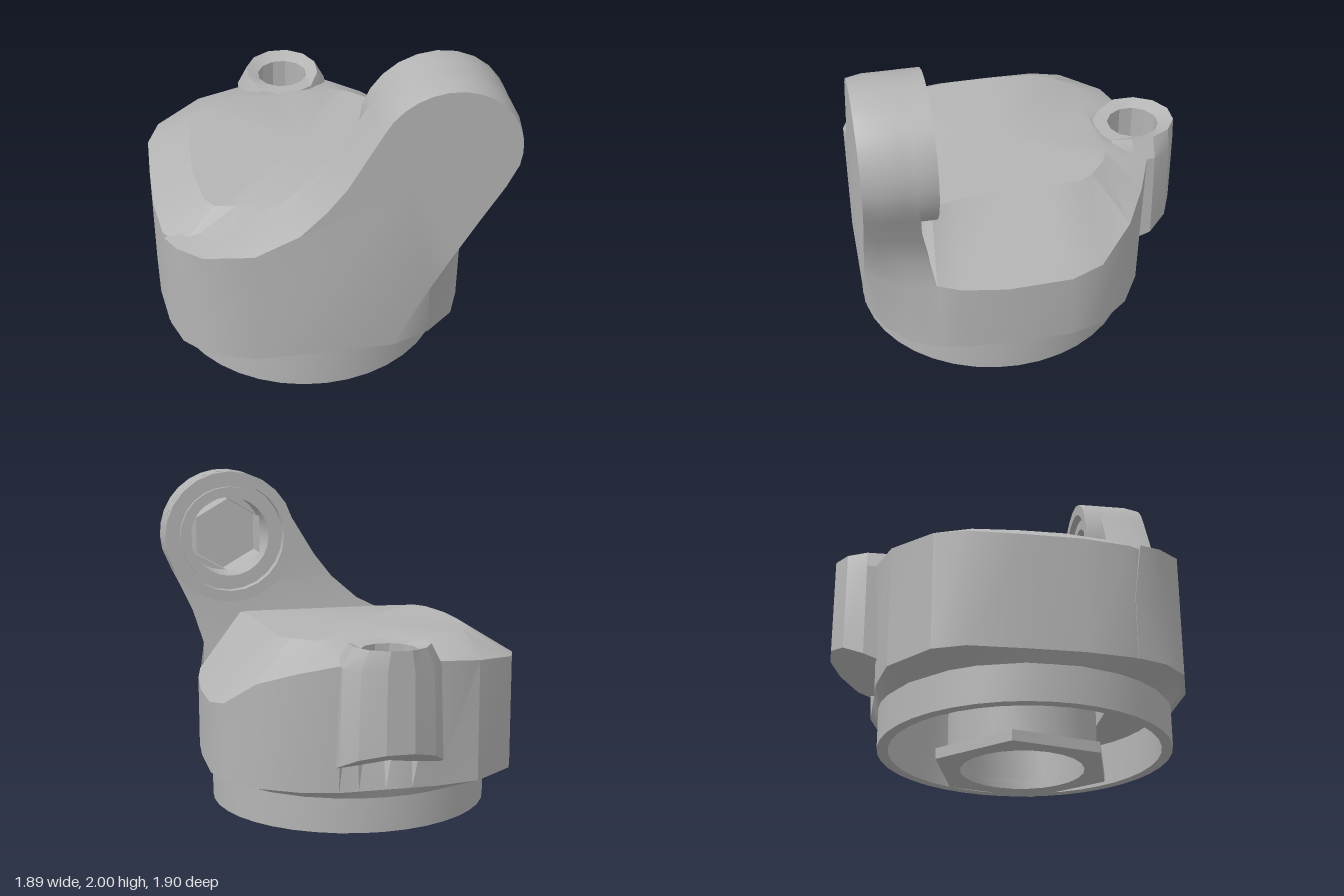
import * as THREE from 'three';
import { toCreasedNormals } from 'three/addons/utils/BufferGeometryUtils.js';

const grey = new THREE.MeshStandardMaterial({ color: 0xb4b4b4, side: THREE.DoubleSide });
grey.name = 'grey plastic';

const V = (x, y, z) => new THREE.Vector3(x, y, z);

// Skin a list of closed rings, with optional fan caps
function loft(rings, { start = false, end = false } = {}) {
  const pos = [];
  const tri = (a, b, c) => [a, b, c].forEach(p => pos.push(p.x, p.y, p.z));
  const n = rings[0].length;
  for (let k = 0; k < rings.length - 1; k++) {
    for (let i = 0; i < n; i++) {
      const j = (i + 1) % n, a = rings[k], b = rings[k + 1];
      tri(a[i], b[i], a[j]);
      tri(a[j], b[i], b[j]);
    }
  }
  const cap = (ring, flip) => {
    const c = ring.reduce((s, p) => s.add(p), V(0, 0, 0)).divideScalar(n);
    ring.forEach((p, i) => {
      const q = ring[(i + 1) % n];
      flip ? tri(c, q, p) : tri(c, p, q);
    });
  };
  if (start) cap(rings[0], false);
  if (end) cap(rings[rings.length - 1], true);
  const g = new THREE.BufferGeometry();
  g.setAttribute('position', new THREE.Float32BufferAttribute(pos, 3));
  g.computeVertexNormals();
  return g;
}

function add(group, name, geometry, crease = 0.55) {
  const mesh = new THREE.Mesh(toCreasedNormals(geometry, crease), grey);
  mesh.name = name;
  group.add(mesh);
  return mesh;
}

const lathe = (pts, seg) => new THREE.LatheGeometry(pts.map(p => new THREE.Vector2(...p)), seg);

export function createModel() {
  const model = new THREE.Group();
  model.name = 'jointHousing';
  const cx = -0.07, cz = 0.13;

  // Housing: [rim x, rim z, rim height, plateau x, plateau z], notched behind for the boss
  const outline = [
    [-0.94, 0.3, 0.99, -0.71, 0.25], [-0.945, 0, 0.99, -0.71, 0],
    [-0.94, -0.3, 0.99, -0.69, -0.25], [-0.87, -0.47, 1.0, -0.62, -0.37],
    [-0.61, -0.67, 1.03, -0.52, -0.46], [-0.35, -0.735, 1.05, -0.3, -0.475],
    [-0.22, -0.62, 1.08, -0.2, -0.48], [-0.07, -0.53, 1.1, -0.07, -0.485],
    [0.08, -0.62, 1.08, 0.06, -0.49], [0.19, -0.74, 1.05, 0.18, -0.49],
    [0.4, -0.65, 1.0, 0.28, -0.45], [0.6, -0.53, 0.93, 0.38, -0.36],
    [0.75, -0.34, 0.79, 0.43, -0.28], [0.8, -0.16, 0.76, 0.44, -0.1],
    [0.8, 0.2, 0.75, 0.445, 0.2], [0.78, 0.45, 0.77, 0.46, 0.42],
    [0.75, 0.58, 0.8, 0.5, 0.56], [0.66, 0.7, 0.75, 0.45, 0.59],
    [0.5, 0.82, 0.6, 0.38, 0.59], [0.27, 0.92, 0.5, 0.2, 0.59],
    [-0.45, 0.92, 1.05, -0.3, 0.59], [-0.7, 0.85, 1.01, -0.5, 0.59],
    [-0.82, 0.7, 0.99, -0.62, 0.57], [-0.905, 0.56, 0.985, -0.67, 0.5],
  ];
  const lower = outline.map(([x, z]) => V(x, 0.35, x > -0.4 && x < 0.25 && z < -0.5 ? -0.71 : z));
  const neck = lower.map(p => {
    const d = V(p.x - cx, 0, p.z - cz).setLength(0.82);
    return V(cx + d.x, 0.3, cz + d.z);
  });
  add(model, 'housing', loft([
    neck, lower,
    outline.map(([x, z, y]) => V(x, y, z)),
    outline.map(([, , , x, z]) => V(x, 1.14, z)),
  ], { end: true }), 0.5);

  // Hollow base ring with its inner ceiling
  const ring = add(model, 'baseRing', lathe(
    [[0.81, 0.32], [0.81, 0.1], [0.75, 0.1], [0.75, 0.55], [0.001, 0.55]], 40));
  ring.position.set(cx, 0, cz);

  // Hexagonal flange and the tube it carries
  const hex = new THREE.Shape();
  for (let i = 0; i < 6; i++) {
    const a = THREE.MathUtils.degToRad(-15 + 60 * i);
    hex[i ? 'lineTo' : 'moveTo'](0.505 * Math.cos(a), 0.505 * Math.sin(a));
  }
  hex.holes.push(new THREE.Path().absarc(0, 0, 0.34, 0, Math.PI * 2, true));
  const flangeGeo = new THREE.ExtrudeGeometry(hex, { depth: 0.06, bevelEnabled: false, curveSegments: 12 });
  flangeGeo.rotateX(-Math.PI / 2);
  add(model, 'hexFlange', flangeGeo).position.set(-0.08, 0, 0.115);
  const tube = add(model, 'bearingTube', lathe(
    [[0.34, 0.55], [0.34, 0.05], [0.41, 0.05], [0.41, 0.55]], 24));
  tube.position.set(-0.08, 0, 0.115);

  // Arm: clockwise sections from back to front, its foot wrapping the front corners
  const hx = 0.55, hy = 1.6;
  const section = (left, right, r, z) => {
    const arc = [];
    for (let i = 0; i <= 14; i++) {
      const a = THREE.MathUtils.degToRad(154 - i * 12);
      arc.push([hx + r * Math.cos(a), hy + r * Math.sin(a)]);
    }
    return [...left, ...arc, ...right].map(([x, y]) => V(x, y, z));
  };
  // The back leans forward as it rises
  const backZ = y => THREE.MathUtils.clamp(0.58 + (y - 0.8) * 0.2, 0.58, 0.67);
  const backEdge = section(
    [[-0.9, 0.35], [-0.9, 0.7], [-0.9, 0.995], [-0.62, 1.06], [-0.4, 1.12], [-0.26, 1.19], [-0.1, 1.33], [0.01, 1.47]],
    [[0.89, 1.39], [0.78, 1.15], [0.72, 0.95], [0.75, 0.78], [0.75, 0.35]], 0.395, 0);
  backEdge.forEach(p => { p.z = backZ(p.y); });
  const middle = section(
    [[-0.84, 0.35], [-0.84, 0.7], [-0.84, 1.01], [-0.6, 1.06], [-0.4, 1.115], [-0.25, 1.185], [-0.095, 1.33], [0.01, 1.465]],
    [[0.885, 1.385], [0.77, 1.15], [0.7, 0.95], [0.69, 0.76], [0.68, 0.35]], 0.395, 0.74);
  const shoulder = section(
    [[-0.71, 0.35], [-0.71, 0.7], [-0.71, 1.03], [-0.56, 1.06], [-0.39, 1.11], [-0.24, 1.18], [-0.09, 1.325], [0.01, 1.46]],
    [[0.88, 1.38], [0.755, 1.15], [0.66, 0.95], [0.59, 0.75], [0.52, 0.35]], 0.395, 0.87);
  const frontFace = section(
    [[-0.45, 0.35], [-0.45, 0.7], [-0.45, 1.07], [-0.41, 1.085], [-0.34, 1.11], [-0.21, 1.18], [-0.075, 1.315], [0.03, 1.45]],
    [[0.86, 1.38], [0.73, 1.16], [0.61, 0.95], [0.49, 0.73], [0.3, 0.35]], 0.38, 0.95);
  add(model, 'arm', loft([backEdge, middle, shoulder, frontFace], { end: true }), 0.6);

  // Back of the arm, open at the socket
  const backShape = new THREE.Shape(backEdge.map(p => new THREE.Vector2(p.x, p.y)));
  backShape.holes.push(new THREE.Path().absarc(hx, hy, 0.3, 0, Math.PI * 2, true));
  const backGeo = new THREE.ShapeGeometry(backShape, 12);
  const bp = backGeo.attributes.position;
  for (let i = 0; i < bp.count; i++) bp.setZ(i, backZ(bp.getY(i)));
  backGeo.index.array.reverse();
  backGeo.computeVertexNormals();
  add(model, 'armBack', backGeo);

  // Round socket head: raised rim, groove and deep bore, facing back
  const headGeo = lathe(
    [[0.395, 0], [0.395, 0.13], [0.33, 0.13], [0.33, 0.06], [0.3, 0.06], [0.3, 0.1],
      [0.24, 0.1], [0.24, -0.2], [0.001, -0.2]], 24);
  headGeo.rotateX(-Math.PI / 2);
  add(model, 'socketHead', headGeo).position.set(hx, hy, 0.7);
  const bushGeo = new THREE.CylinderGeometry(0.225, 0.225, 0.22, 6, 1, true);
  bushGeo.rotateX(Math.PI / 2);
  add(model, 'socketBush', bushGeo).position.set(hx, hy, 0.78);

  // Rear boss with a sloping closed underside and a blind bore
  const bx = -0.08, bz = -0.725;
  const bossRing = (rx, rz, yOf) => Array.from({ length: 12 }, (_, i) => {
    const a = (i + 0.5) * Math.PI / 6;
    const z = bz + rz * Math.sin(a);
    return V(bx + rx * Math.cos(a), yOf(z), z);
  });
  const under = z => THREE.MathUtils.clamp(0.47 - (z + 0.7) * 0.55, 0.47, 0.61);
  add(model, 'rearBoss', loft([
    bossRing(0.3, 0.238, under),
    bossRing(0.28, 0.238, () => 1.05),
    bossRing(0.22, 0.238, z => (z < -0.6 ? 1.16 : 1.13)),
    bossRing(0.15, 0.15, () => 1.13),
    bossRing(0.15, 0.15, () => 0.66),
  ], { start: true, end: true }), 0.4);
  // Cross web inside the bore
  for (const [w, d] of [[0.29, 0.07], [0.05, 0.29]]) {
    add(model, 'bossWeb', new THREE.BoxGeometry(w, 0.2, d)).position.set(bx, 0.8, bz);
  }
  return model;
}
